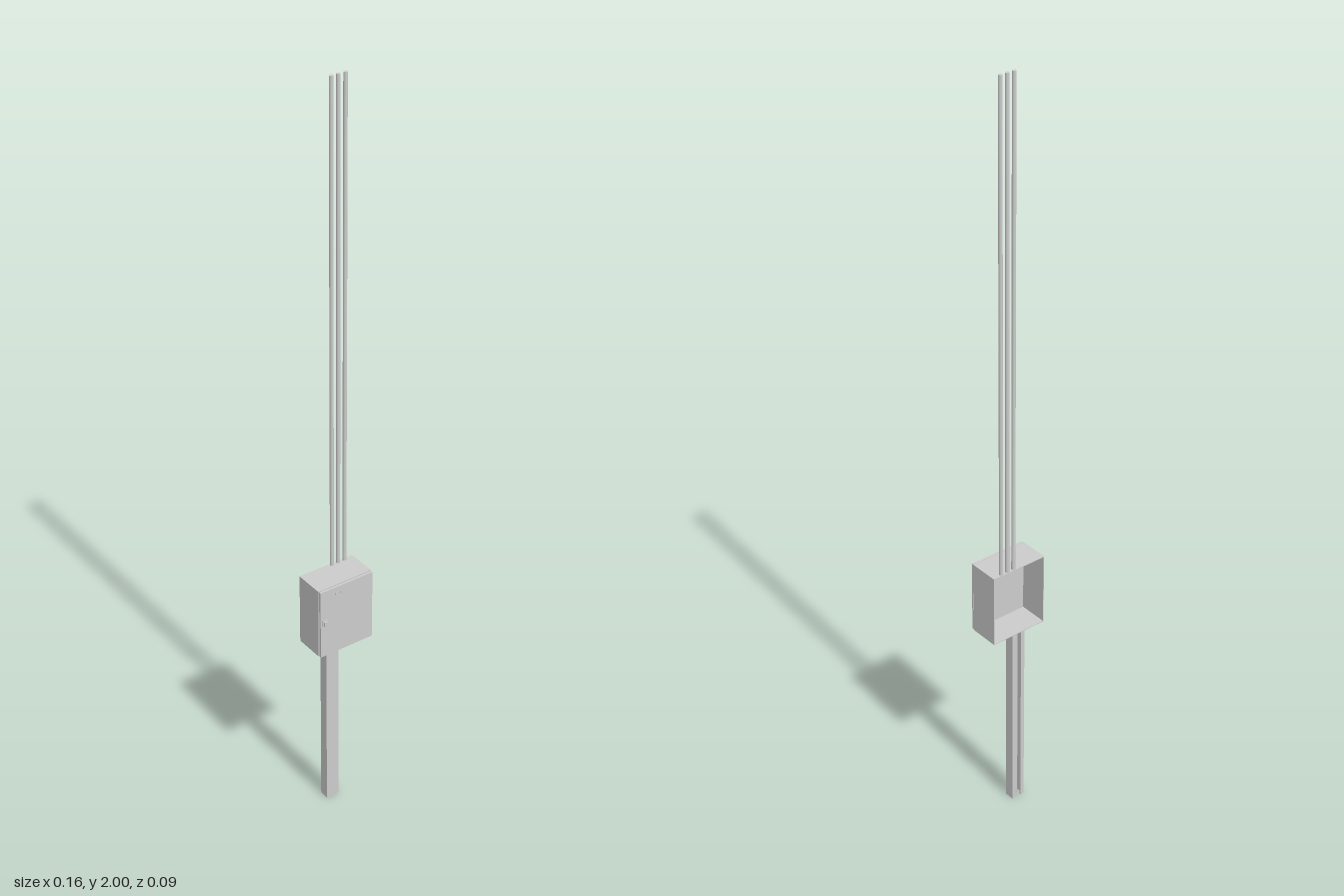
import * as THREE from 'three';

const material = new THREE.MeshStandardMaterial({ color: 0xcccccc, side: THREE.DoubleSide });

function add(parent, name, geometry, x, y, z) {
  const mesh = new THREE.Mesh(geometry, material);
  mesh.name = name;
  mesh.position.set(x, y, z);
  parent.add(mesh);
  return mesh;
}

// Box given by its limits on each axis
function box(parent, name, [x0, x1], [y0, y1], [z0, z1]) {
  return add(parent, name, new THREE.BoxGeometry(x1 - x0, y1 - y0, z1 - z0),
    (x0 + x1) / 2, (y0 + y1) / 2, (z0 + z1) / 2);
}

export function createModel() {
  const model = new THREE.Group();
  const W = 0.079, Y0 = 0.53, Y1 = 0.727, BACK = -0.048, T = 0.002;

  // Cabinet shell, open at the back
  const cabinet = new THREE.Group();
  cabinet.name = 'cabinet';
  model.add(cabinet);
  box(cabinet, 'cabinetTop', [-W, W], [Y1 - T, Y1], [BACK, 0.032]);
  box(cabinet, 'cabinetBottom', [-W, W], [Y0, Y0 + T], [BACK, 0.032]);
  for (const s of [-1, 1]) {
    add(cabinet, 'cabinetSide', new THREE.BoxGeometry(T, Y1 - Y0 - 2 * T, 0.032 - BACK),
      s * (W - T / 2), (Y0 + Y1) / 2, (0.032 + BACK) / 2);
  }
  box(cabinet, 'cabinetFront', [-W + T, W - T], [Y0 + T, Y1 - T], [0.03, 0.032]);

  // Door, set off from the shell by a narrow seam
  box(cabinet, 'doorSeam', [-W + 0.004, W - 0.004], [Y0 + 0.004, Y1 - 0.004], [0.032, 0.034]);
  box(cabinet, 'door', [-W + 0.001, W - 0.001], [Y0 + 0.001, Y1 - 0.001], [0.034, 0.04]);

  // Latch and the row of small raised tabs near the top of the door
  box(cabinet, 'latchPlate', [-0.072, -0.058], [0.622, 0.642], [0.04, 0.0415]);
  box(cabinet, 'latchHandle', [-0.07, -0.06], [0.626, 0.638], [0.0415, 0.046]);
  for (let i = 0; i < 3; i++) {
    const x = -0.046 + i * 0.013;
    box(cabinet, 'doorTab', [x, x + 0.009], [0.704, 0.71], [0.04, 0.041]);
  }

  // Post: lipped channel, open towards the back
  const outline = [
    [-0.008, -0.046], [-0.019, -0.046], [-0.019, -0.02], [0.019, -0.02], [0.019, -0.046], [0.008, -0.046],
    [0.008, -0.043], [0.016, -0.043], [0.016, -0.023], [-0.016, -0.023], [-0.016, -0.043], [-0.008, -0.043],
  ];
  const profile = new THREE.Shape(outline.map(([x, z]) => new THREE.Vector2(x, -z)));
  const post = new THREE.ExtrudeGeometry(profile, { depth: Y0, bevelEnabled: false });
  post.rotateX(-Math.PI / 2);
  add(model, 'post', post, 0, 0, 0);

  // Three conduits rising from the cabinet
  const bottom = Y1 - T;
  for (const x of [0.014, 0.033, 0.052]) {
    add(model, 'conduit', new THREE.CylinderGeometry(0.005, 0.005, 2 - bottom, 16),
      x, (2 + bottom) / 2, -0.042);
  }
  return model;
}
